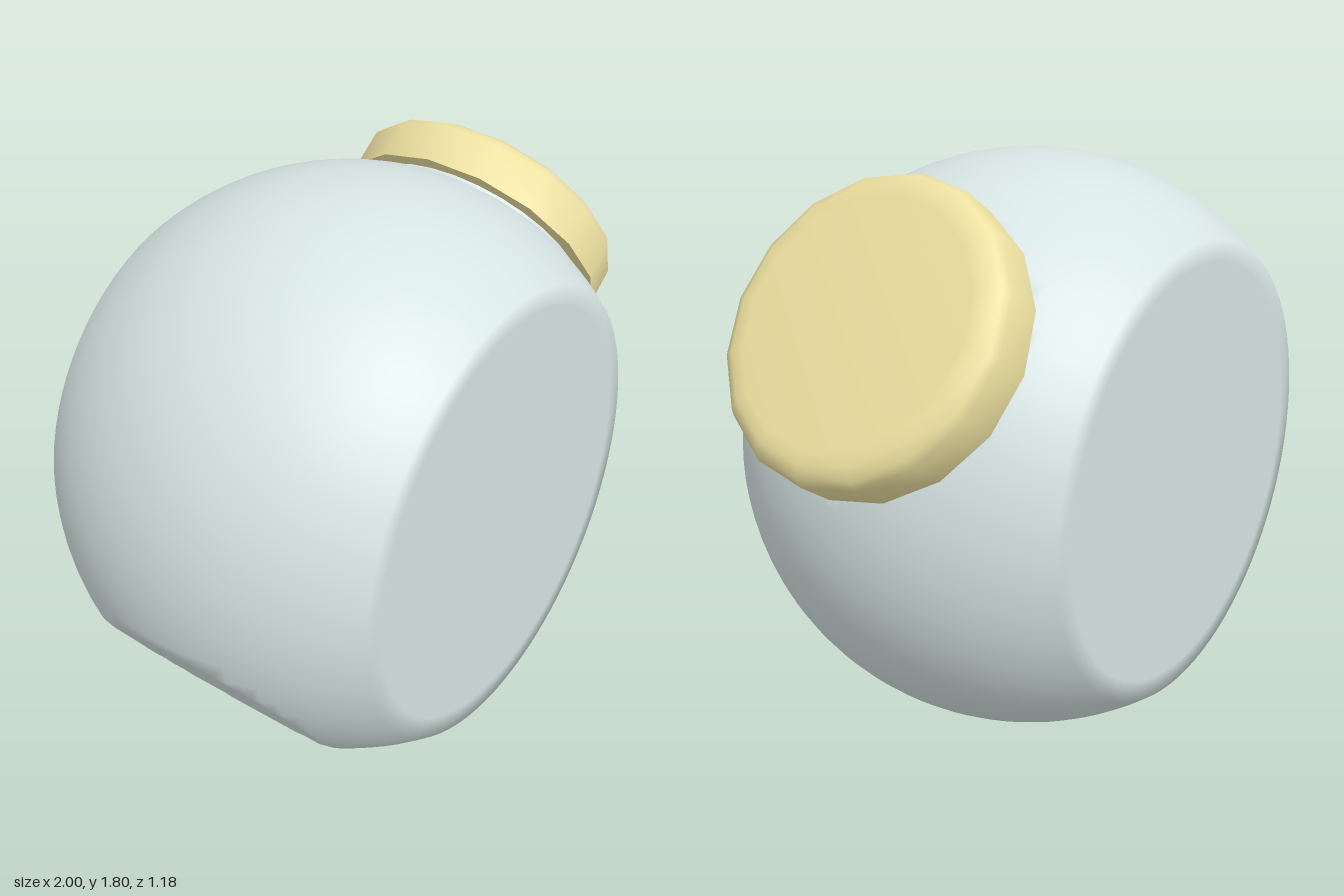
import * as THREE from 'three';
import { toCreasedNormals } from 'three/addons/utils/BufferGeometryUtils.js';

const CENTER = new THREE.Vector3(-0.07, 0.86, 0);
const RADIUS = 0.93;
const AXIS = new THREE.Vector3(0.815, 0.58, 0).normalize(); // direction of the mouth

// Flat cuts in the ball: outward normal and distance from its centre
const CUTS = [
  [new THREE.Vector3(0, 0, 1), 0.592],   // front face
  [new THREE.Vector3(0, 0, -1), 0.592],  // back face
  [new THREE.Vector3(0, -1, 0), 0.86],   // base
  [AXIS.clone().negate(), 0.843],        // slanted second base
  [AXIS, 0.832],                         // mouth
];

// Sphere whose points are pulled in to the nearest cutting plane
function cutBall() {
  const geo = new THREE.SphereGeometry(1, 80, 64).rotateX(Math.PI / 2);
  const pos = geo.attributes.position, nor = geo.attributes.normal;
  const dir = new THREE.Vector3();
  for (let i = 0; i < pos.count; i++) {
    dir.fromBufferAttribute(pos, i).normalize();
    let reach = RADIUS, normal = dir;
    for (const [n, d] of CUTS) {
      const along = dir.dot(n);
      if (along > 0 && d / along < reach) {
        reach = d / along;
        normal = n;
      }
    }
    nor.setXYZ(i, normal.x, normal.y, normal.z);
    pos.setXYZ(i, dir.x * reach, dir.y * reach, dir.z * reach);
  }
  return geo;
}

export function createModel() {
  const glass = new THREE.MeshStandardMaterial({ color: 0xd6e4e3 });
  const lidColor = new THREE.MeshStandardMaterial({ color: 0xece0a0 });

  const jar = new THREE.Group();
  jar.name = 'jar';
  jar.position.copy(CENTER);

  const body = new THREE.Mesh(cutBall(), glass);
  body.name = 'body';
  jar.add(body);

  // Neck and lid stand on the tilted mouth axis
  const mouth = new THREE.Group();
  mouth.name = 'mouth';
  mouth.quaternion.setFromUnitVectors(new THREE.Vector3(0, 1, 0), AXIS);
  jar.add(mouth);

  const neck = new THREE.Mesh(new THREE.CylinderGeometry(0.415, 0.415, 0.07, 32), glass);
  neck.name = 'neck';
  neck.position.y = 0.835;
  mouth.add(neck);

  // Sixteen-sided lid with a soft bevel round the top
  const profile = [[0, 0.842], [0.46, 0.842], [0.46, 0.97], [0.445, 0.995], [0.41, 1.017], [0.37, 1.02], [0, 1.02]]
    .map(([r, y]) => new THREE.Vector2(r, y));
  const lid = new THREE.Mesh(toCreasedNormals(new THREE.LatheGeometry(profile, 16), 1), lidColor);
  lid.name = 'lid';
  mouth.add(lid);

  const model = new THREE.Group();
  model.name = 'tiltedJar';
  model.add(jar);
  return model;
}
